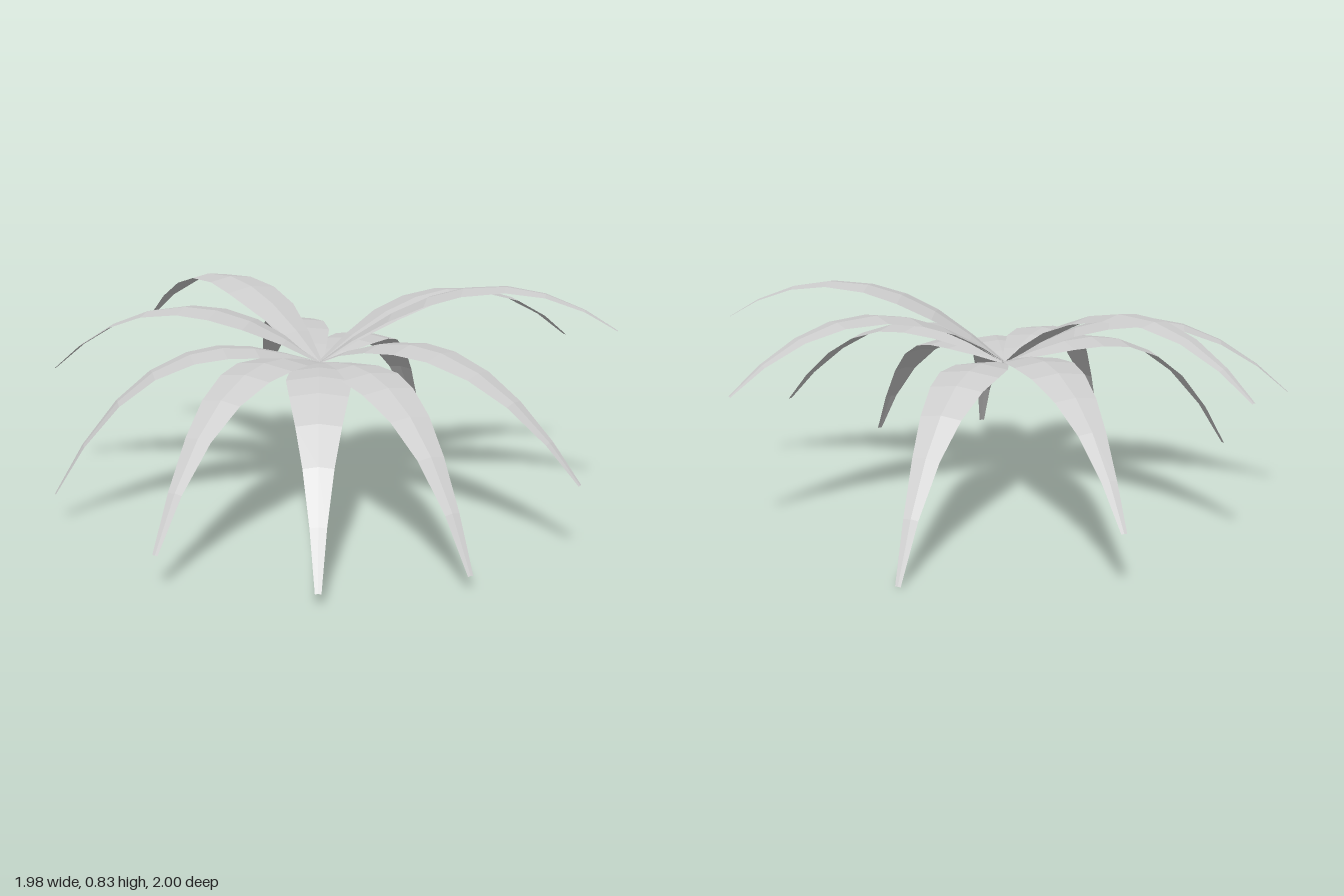
import * as THREE from 'three';

// Point where all leaves meet
const HUB = new THREE.Vector3(-0.07, 0.53, 0.04);

// Tip x, y, z, starting slope, droop exponent
const LEAVES = [
  [-0.25, 0.56, -1.0, 0.75, 2.3],
  [0.237, 0.21, -0.92, 0.33, 2.6],
  [0.74, 0.0, -0.415, 0.2, 3],
  [0.985, 0.54, 0.2, 0.69, 2.3],
  [0.685, 0.69, 0.77, 0.79, 2.3],
  [0.325, 0.26, 0.99, 0.46, 2.3],
  [-0.12, 0.05, 0.99, 0.15, 3],
  [-0.575, 0.04, 0.83, 0.15, 3],
  [-0.94, 0.12, 0.47, 0.25, 3],
  [-0.99, 0.11, -0.255, 0.26, 3],
  [-0.805, 0.45, -0.705, 0.6, 2.3],
];

// Stations along a leaf: fraction of its reach, half width
const STATIONS = [
  [0, 0.012], [0.12, 0.058], [0.25, 0.102], [0.37, 0.112], [0.49, 0.098],
  [0.63, 0.075], [0.76, 0.05], [0.89, 0.027], [1, 0.01],
];

// Arched blade: three points per station, the middle one raised into a ridge
function leafGeometry([tx, ty, tz, slope, power]) {
  const dx = tx - HUB.x, dz = tz - HUB.z;
  const reach = Math.hypot(dx, dz);
  const ux = dx / reach, uz = dz / reach;
  const droop = (slope * reach - (ty - HUB.y)) / reach ** power;
  const positions = [], index = [];
  STATIONS.forEach(([t, half], i) => {
    const r = t * reach;
    const y = HUB.y + slope * r - droop * r ** power;
    for (const side of [-1, 0, 1]) {
      positions.push(
        HUB.x + ux * r - uz * half * side,
        y + (side === 0 ? 0.13 * half : 0),
        HUB.z + uz * r + ux * half * side,
      );
    }
    if (i === 0) return;
    for (let k = 0; k < 2; k++) {
      const a = (i - 1) * 3 + k, b = a + 1, c = a + 3, d = a + 4;
      index.push(a, b, c, b, d, c);
    }
  });
  const geometry = new THREE.BufferGeometry();
  geometry.setAttribute('position', new THREE.Float32BufferAttribute(positions, 3));
  geometry.setIndex(index);
  geometry.computeVertexNormals();
  return geometry;
}

export function createModel() {
  const plant = new THREE.Group();
  plant.name = 'leafRosette';
  const leafGrey = new THREE.MeshStandardMaterial({
    color: 0xcccccc, flatShading: true, side: THREE.DoubleSide,
  });
  leafGrey.name = 'leaf grey';
  LEAVES.forEach((leaf, i) => {
    const mesh = new THREE.Mesh(leafGeometry(leaf), leafGrey);
    mesh.name = `leaf${i + 1}`;
    plant.add(mesh);
  });
  return plant;
}
